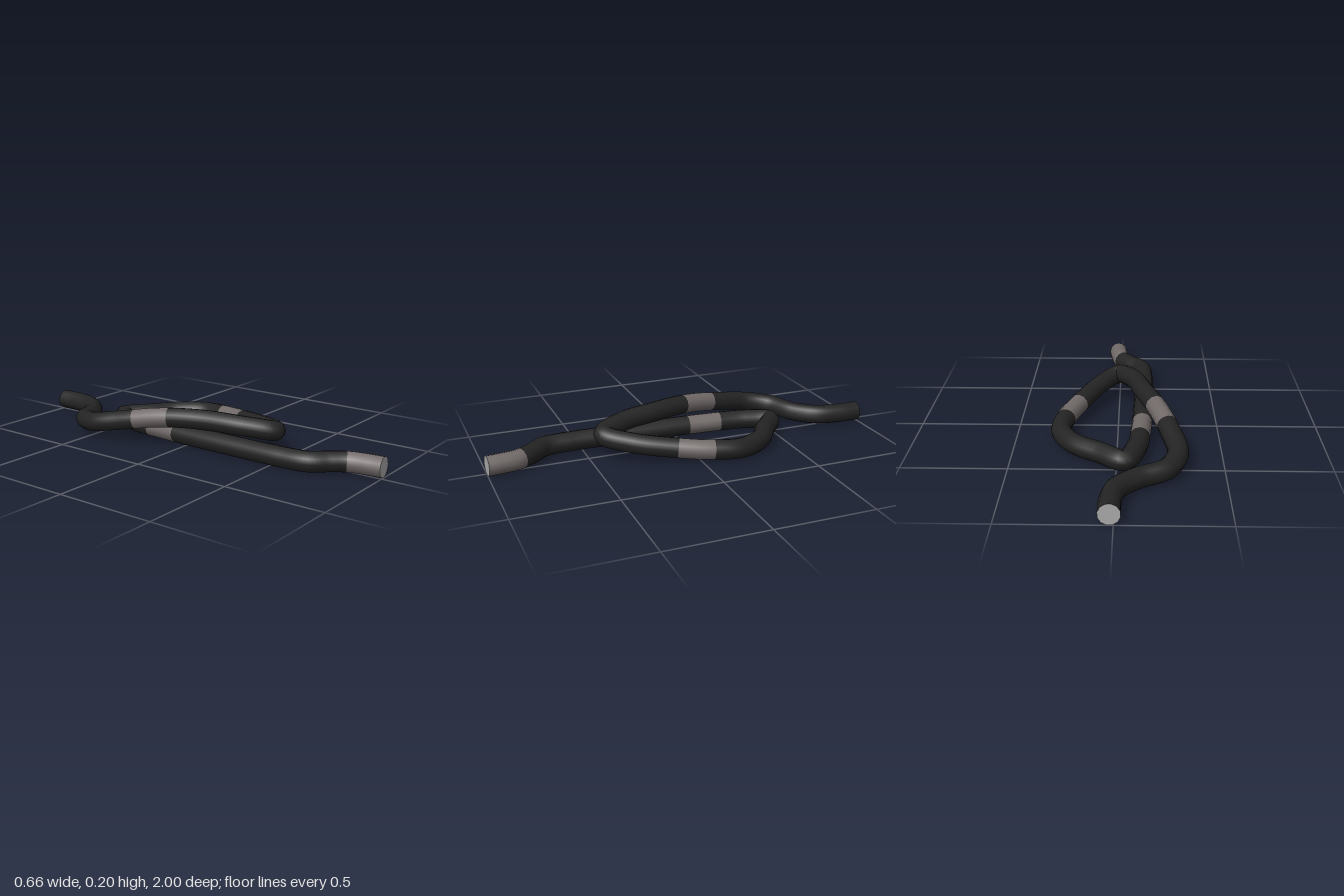
import * as THREE from 'three';

const RADIUS = 0.05, SIDES = 12, STEPS = 300;

// Centre line of the rope, from its front end round the loop to its back end
const PATH = [
  [0.02, 0.05, 1], [0.015, 0.05, 0.94], [-0.005, 0.05, 0.84], [-0.055, 0.05, 0.765],
  [-0.115, 0.05, 0.69], [-0.13, 0.05, 0.56], [-0.13, 0.05, 0.35], [-0.125, 0.05, 0.08],
  [-0.115, 0.05, -0.16], [-0.09, 0.05, -0.38], [-0.035, 0.05, -0.5], [0.08, 0.05, -0.42],
  [0.205, 0.05, -0.325], [0.275, 0.055, -0.19], [0.26, 0.062, -0.05], [0.2, 0.075, 0.12],
  [0.11, 0.095, 0.31], [0.01, 0.118, 0.425], [-0.07, 0.138, 0.31], [-0.13, 0.148, 0.1],
  [-0.195, 0.14, -0.1], [-0.255, 0.105, -0.31], [-0.284, 0.075, -0.47], [-0.23, 0.058, -0.6],
  [-0.1, 0.05, -0.675], [-0.01, 0.05, -0.77], [0.017, 0.05, -0.89], [0.018, 0.05, -1],
].map(p => new THREE.Vector3(...p));

// Centres of the pale bands along the rope
const BANDS = [
  [0.01, 0.05, 0.92], [-0.115, 0.05, -0.155], [0.235, 0.066, 0.025], [-0.213, 0.13, -0.155],
].map(p => new THREE.Vector3(...p));

function material(name, color) {
  const m = new THREE.MeshStandardMaterial({ color });
  m.name = name;
  return m;
}

export function createModel() {
  const group = new THREE.Group();
  group.name = 'knottedRope';
  const black = material('ropeBlack', 0x242424);
  const grey = material('bandGrey', 0x716a69);
  const pale = material('capGrey', 0xaaaaaa);

  // Rope, with the segments near a band centre given the band colour
  const curve = new THREE.CatmullRomCurve3(PATH, false, 'centripetal');
  const tube = new THREE.TubeGeometry(curve, STEPS, RADIUS, SIDES, false);
  const perStep = SIDES * 6;
  for (let i = 0; i < STEPS; i++) {
    const p = curve.getPointAt((i + 0.5) / STEPS);
    const banded = BANDS.some(b => b.distanceTo(p) < 0.088);
    tube.addGroup(i * perStep, perStep, banded ? 1 : 0);
  }
  const rope = new THREE.Mesh(tube, [black, grey]);
  rope.name = 'rope';
  group.add(rope);

  // Flat cut ends
  for (const [name, step, sign] of [['frontCap', 0, -1], ['backCap', STEPS, 1]]) {
    const basis = new THREE.Matrix4().makeBasis(
      tube.normals[step].clone().multiplyScalar(sign),
      tube.binormals[step],
      tube.tangents[step].clone().multiplyScalar(sign),
    ).setPosition(curve.getPointAt(step / STEPS));
    const cap = new THREE.Mesh(new THREE.CircleGeometry(RADIUS, SIDES).applyMatrix4(basis), pale);
    cap.name = name;
    group.add(cap);
  }
  return group;
}
